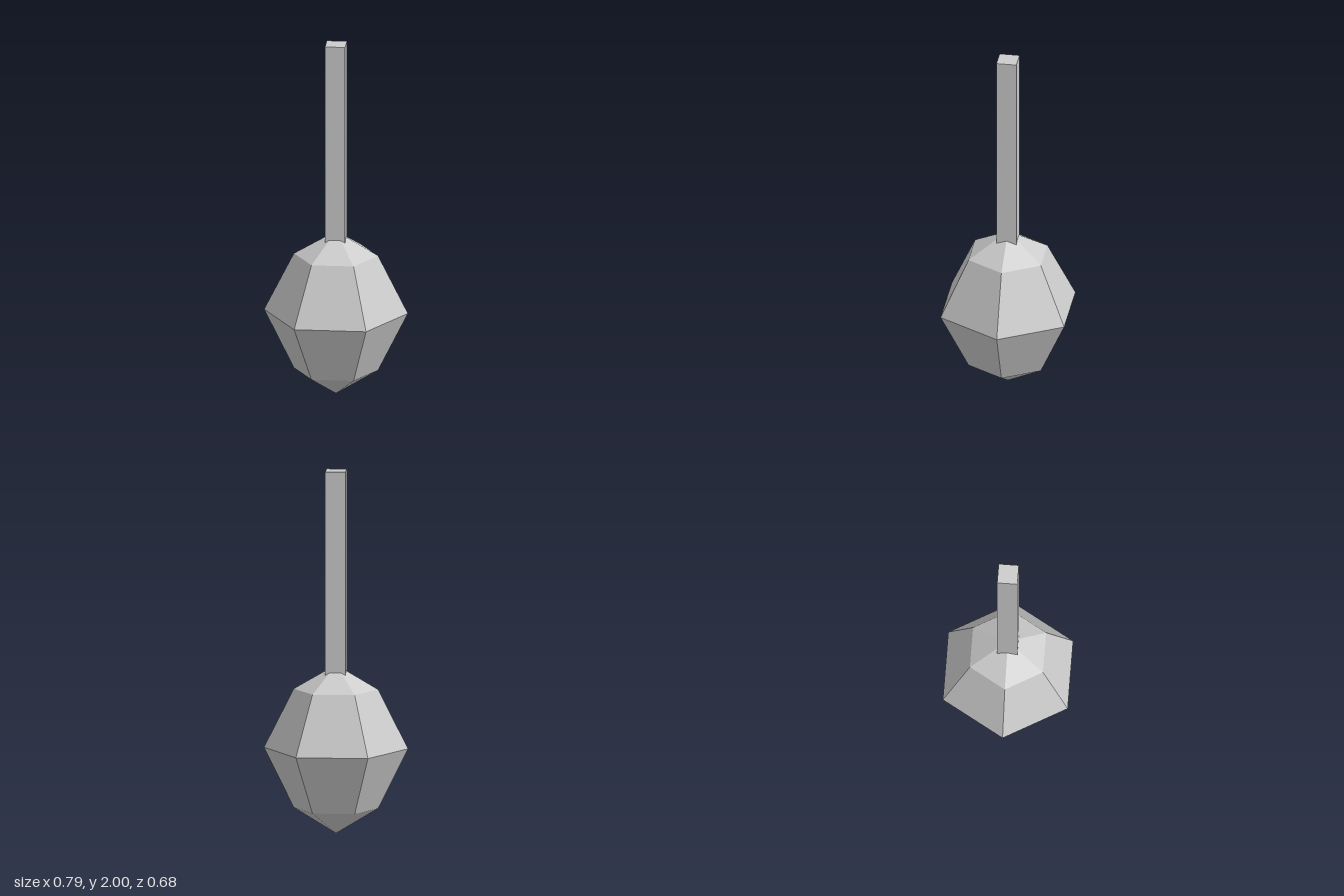
import * as THREE from 'three';

export function createModel() {
  const model = new THREE.Group();
  const grey = new THREE.MeshStandardMaterial({ color: 0xcccccc, flatShading: true });
  grey.name = 'light grey';

  // Six-sided faceted head, pointed at the bottom
  const profile = [[0, 0], [0.23, 0.14], [0.393, 0.47], [0.23, 0.795], [0, 0.93]]
    .map(([r, y]) => new THREE.Vector2(r, y));
  const head = new THREE.Mesh(new THREE.LatheGeometry(profile, 6, Math.PI / 2), grey);
  head.name = 'head';

  // Square handle, sunk into the top of the head
  const bottom = 0.82, top = 2;
  const handle = new THREE.Mesh(new THREE.BoxGeometry(0.11, top - bottom, 0.11), grey);
  handle.position.y = (top + bottom) / 2;
  handle.name = 'handle';

  model.add(head, handle);
  return model;
}
